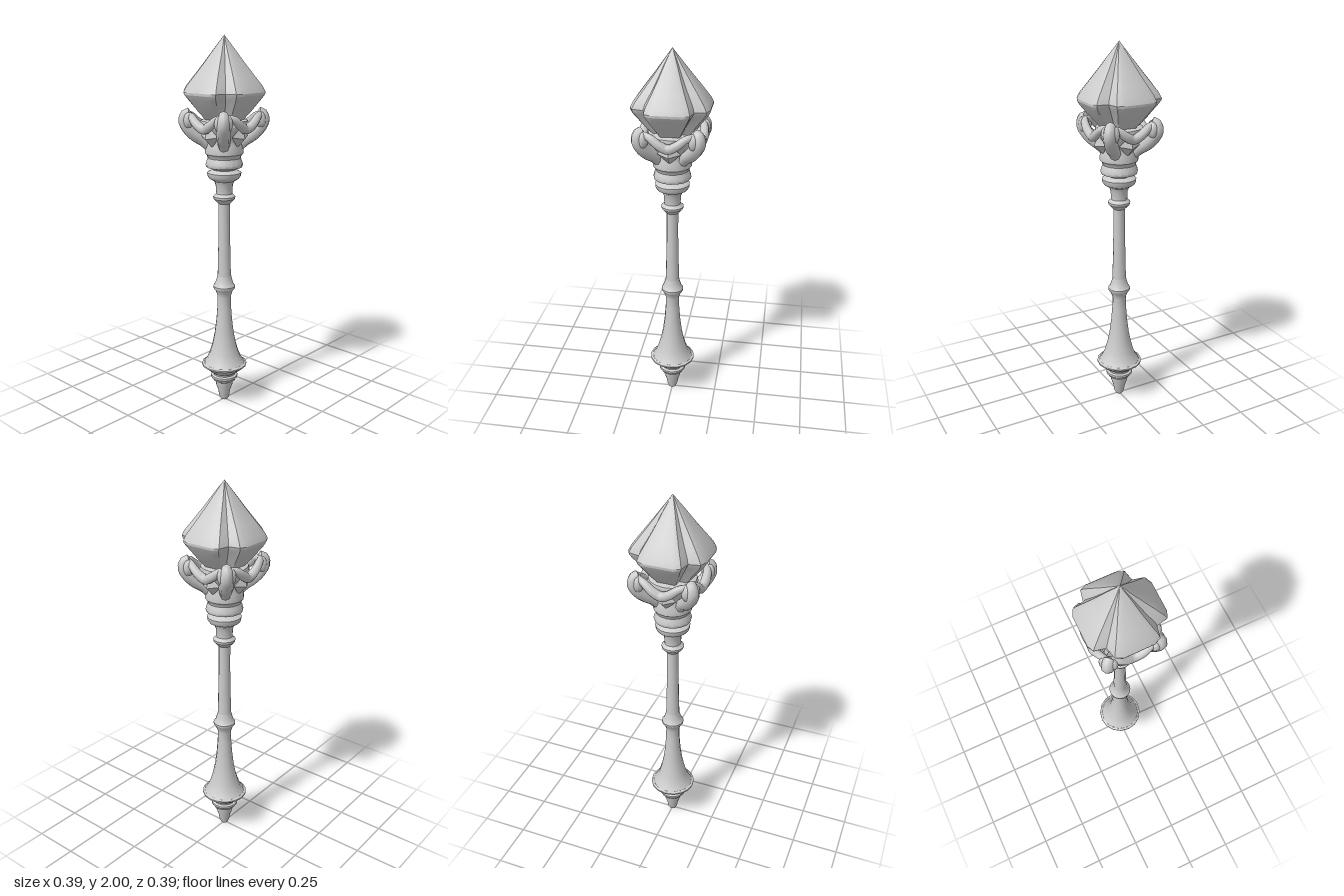
import * as THREE from 'three';
import { toCreasedNormals } from 'three/addons/utils/BufferGeometryUtils.js';

const material = new THREE.MeshStandardMaterial({ color: 0xcccccc });

function part(name, geometry, parent, crease = 0.6) {
  const mesh = new THREE.Mesh(toCreasedNormals(geometry, crease), material);
  mesh.name = name;
  parent.add(mesh);
  return mesh;
}

// Turned piece from [radius, height] pairs
function turned(name, profile, parent, sides = 16) {
  const points = profile.map(([r, y]) => new THREE.Vector2(r, y));
  return part(name, new THREE.LatheGeometry(points, sides), parent);
}

// Tube whose thickness varies along its length
function taperedTube(points, radiusAt, segments = 20, sides = 8) {
  const curve = new THREE.CatmullRomCurve3(points.map((p) => new THREE.Vector3(...p)));
  const geometry = new THREE.TubeGeometry(curve, segments, 1, sides);
  const pos = geometry.attributes.position;
  const v = new THREE.Vector3();
  for (let i = 0; i < pos.count; i++) {
    const t = Math.floor(i / (sides + 1)) / segments;
    const centre = curve.getPointAt(t);
    v.fromBufferAttribute(pos, i).sub(centre).multiplyScalar(radiusAt(t)).add(centre);
    pos.setXYZ(i, v.x, v.y, v.z);
  }
  return geometry;
}

// Four-lobed crystal: rings of [reach, height, panel half width, notch]
function crystalGeometry() {
  const rings = [
    [0.0, 1.56, 0, 0], [0.08, 1.565, 0.036, 0.046], [0.128, 1.62, 0.058, 0.072],
    [0.183, 1.69, 0.076, 0.108], [0.195, 1.71, 0.078, 0.12], [0.196, 1.722, 0.078, 0.124],
    [0.182, 1.75, 0.072, 0.116], [0.142, 1.805, 0.057, 0.088], [0.097, 1.865, 0.04, 0.06],
    [0.05, 1.93, 0.021, 0.033], [0.0, 2.0, 0, 0],
  ];
  const positions = [], index = [], n = 28;
  for (const [r, y, w, notch] of rings) {
    const quarter = [
      [r, -w], [r, 0], [r, w],
      [r * 0.955, w + (notch - w) * 0.4], [r * 0.8 + notch * 0.2, w + (notch - w) * 0.72],
      [notch, notch], [w + (notch - w) * 0.72, r * 0.8 + notch * 0.2],
    ];
    // Replace the last point's neighbour so each panel has two rounded corners
    for (let q = 0; q < 4; q++) {
      const c = Math.round(Math.cos(q * Math.PI / 2)), s = Math.round(Math.sin(q * Math.PI / 2));
      for (const [x, z] of quarter) positions.push(x * c - z * s, y, x * s + z * c);
    }
  }
  for (let i = 0; i < rings.length - 1; i++) {
    for (let j = 0; j < n; j++) {
      const a = i * n + j, b = i * n + (j + 1) % n;
      if (i > 0) index.push(a, a + n, b);
      if (i < rings.length - 2) index.push(b, a + n, b + n);
      else if (i === 0) index.push(b, a + n, b + n);
    }
  }
  // Bottom ring is a single point, so only its outer triangles are kept
  const geometry = new THREE.BufferGeometry();
  geometry.setAttribute('position', new THREE.Float32BufferAttribute(positions, 3));
  geometry.setIndex(index);
  return geometry;
}

export function createModel() {
  const model = new THREE.Group();
  model.name = 'mace';

  turned('pommel', [
    [0, 0], [0.02, 0.002], [0.028, 0.02], [0.034, 0.055], [0.046, 0.09], [0.05, 0.115],
    [0.062, 0.122], [0.066, 0.132], [0.074, 0.14], [0.074, 0.152], [0.062, 0.158],
    [0.066, 0.17], [0.088, 0.185], [0.11, 0.205], [0.124, 0.215], [0.124, 0.223], [0.112, 0.228],
  ], model);

  turned('flaredGrip', [
    [0.113, 0.226], [0.094, 0.255], [0.08, 0.29], [0.066, 0.34], [0.054, 0.4],
    [0.044, 0.48], [0.038, 0.56], [0.037, 0.62], [0.044, 0.64],
  ], model, 12);

  turned('gripRing', [
    [0.042, 0.635], [0.048, 0.65], [0.059, 0.664], [0.06, 0.677], [0.05, 0.69], [0.042, 0.715], [0.037, 0.735],
  ], model);

  turned('shaft', [[0.037, 0.73], [0.034, 0.85], [0.031, 1.0], [0.031, 1.14]], model, 12);

  turned('neckRing', [
    [0.031, 1.135], [0.042, 1.145], [0.05, 1.155], [0.057, 1.162], [0.059, 1.175],
    [0.05, 1.182], [0.043, 1.19], [0.045, 1.235], [0.055, 1.26],
  ], model);

  turned('collar', [
    [0.05, 1.255], [0.08, 1.272], [0.088, 1.285], [0.09, 1.303], [0.075, 1.312], [0.06, 1.318],
    [0.07, 1.326], [0.094, 1.332], [0.098, 1.345], [0.092, 1.365], [0.086, 1.38],
    [0.091, 1.393], [0.1, 1.403], [0.101, 1.425], [0.095, 1.45],
  ], model);

  turned('cup', [
    [0.095, 1.445], [0.09, 1.47], [0.1, 1.5], [0.117, 1.525], [0.127, 1.55], [0.122, 1.575], [0.09, 1.585], [0, 1.58],
  ], model);

  // Claws curling outward on the diagonals
  const clawGeometry = taperedTube([
    [0.07, 1.43, 0], [0.105, 1.47, 0], [0.145, 1.5, 0], [0.18, 1.535, 0],
    [0.203, 1.575, 0], [0.193, 1.61, 0], [0.17, 1.615, 0],
  ], (t) => t === 1 ? 0.001 : 0.025 + 0.012 * Math.sin(Math.PI * t));
  const knobGeometry = new THREE.SphereGeometry(0.034, 10, 8);
  for (let i = 0; i < 4; i++) {
    const claw = new THREE.Group();
    claw.name = 'claw';
    claw.rotation.y = Math.PI / 4 + i * Math.PI / 2 + (i % 2 ? 0.06 : -0.06);
    part('clawHook', clawGeometry, claw, 0.9);
    for (const side of [-1, 1]) {
      const knob = part('clawKnob', knobGeometry, claw, 0.9);
      knob.position.set(0.186, 1.577, side * 0.022);
      knob.scale.set(0.8, 1.25, 0.75);
    }
    model.add(claw);
  }

  // Drooping rim and pointed leaf between each pair of claws
  const rimGeometry = taperedTube([
    [-0.13, 1.605, 0.128], [-0.09, 1.595, 0.148], [-0.045, 1.562, 0.155], [0, 1.54, 0.15],
    [0.045, 1.562, 0.155], [0.09, 1.595, 0.148], [0.13, 1.605, 0.128],
  ], (t) => 0.016 + 0.009 * Math.sin(Math.PI * t), 24);
  const leafGeometry = new THREE.OctahedronGeometry(1);
  for (let i = 0; i < 4; i++) {
    const side = new THREE.Group();
    side.name = 'rimSide';
    side.rotation.y = i * Math.PI / 2;
    part('droopingRim', rimGeometry, side, 0.9);
    const leaf = part('leaf', leafGeometry, side, 0.3);
    leaf.position.set(0, 1.5, 0.108);
    leaf.scale.set(0.06, 0.062, 0.036);
    leaf.rotation.x = 0.3;
    model.add(side);
  }

  part('crystalHead', crystalGeometry(), model, 0.45);
  return model;
}
